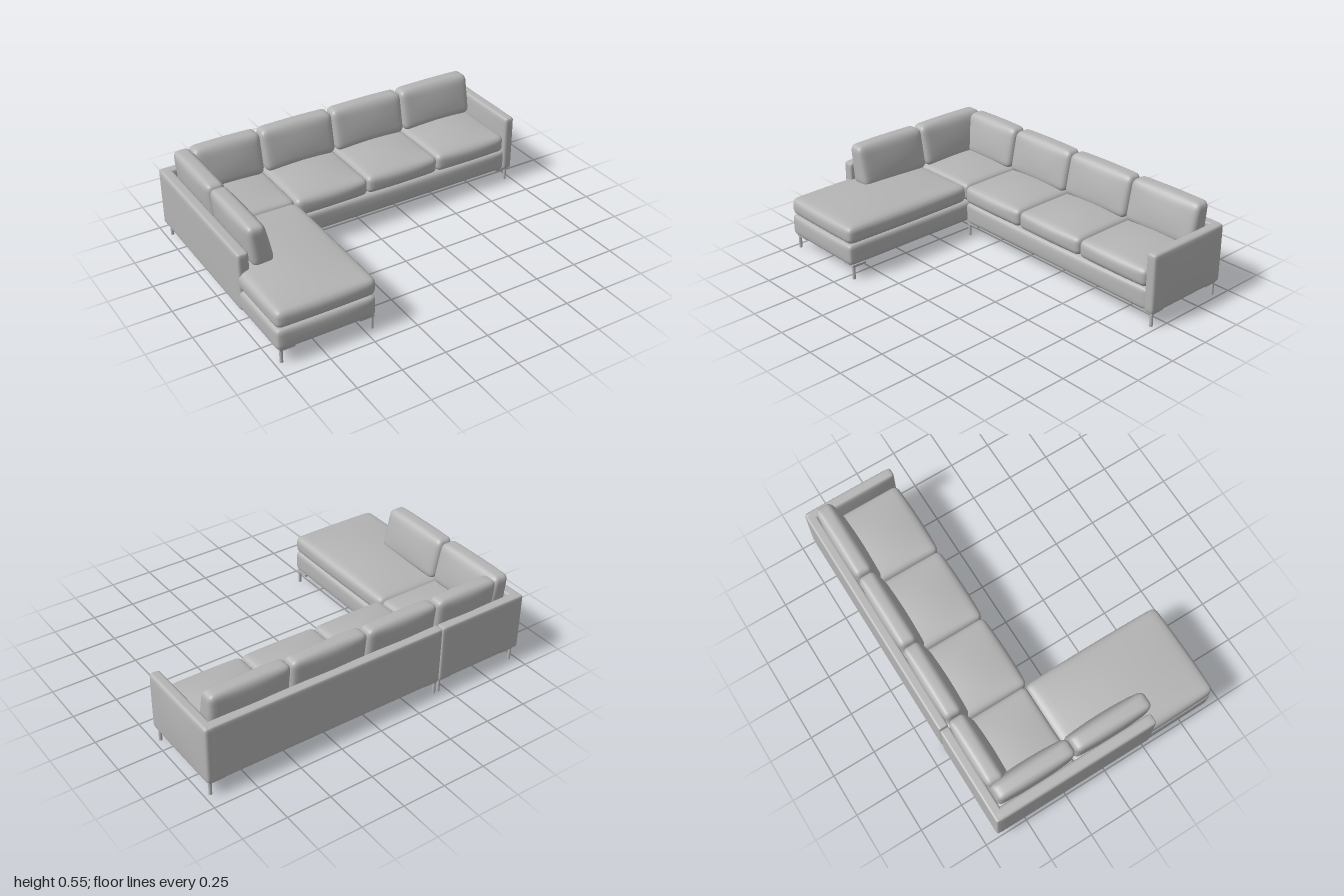
import * as THREE from 'three';
import { mergeVertices } from 'three/addons/utils/BufferGeometryUtils.js';

const upholstery = new THREE.MeshStandardMaterial({ color: 0xb4b4b4 });
upholstery.name = 'grey upholstery';

// Soft box: rounded edges, then each face swells by bulge = [x, y, z]; lean and taper act towards the top
function softBox(w, h, d, r, bulge = [0, 0, 0], lean = 0, taper = 0) {
  let geo = new THREE.BoxGeometry(2, 2, 2, 20, 16, 20);
  geo.deleteAttribute('uv');
  geo.deleteAttribute('normal');
  geo = mergeVertices(geo, 1e-4);
  const pos = geo.attributes.position;
  const half = new THREE.Vector3(w / 2, h / 2, d / 2);
  const inner = half.clone().subScalar(r);
  const p = new THREE.Vector3(), q = new THREE.Vector3(), low = inner.clone().negate();
  const crowd = (t) => Math.sin((t * Math.PI) / 2);
  const swell = (a, b) => (1 - a * a) * (1 - b * b);
  for (let i = 0; i < pos.count; i++) {
    p.fromBufferAttribute(pos, i);
    p.set(crowd(p.x), crowd(p.y), crowd(p.z)).multiply(half);
    q.copy(p).clamp(low, inner);
    p.sub(q).setLength(r).add(q);
    const u = p.x / half.x, v = p.y / half.y, t = p.z / half.z;
    p.x += bulge[0] * u * swell(v, t);
    p.y += bulge[1] * v * swell(u, t);
    p.z += bulge[2] * t * swell(u, v);
    p.z = p.z * (1 - taper * (v + 1) / 2) + lean * v;
    pos.setXYZ(i, p.x, p.y, p.z);
  }
  geo.computeVertexNormals();
  return geo;
}

function addMesh(group, name, geo) {
  const mesh = new THREE.Mesh(geo, upholstery);
  mesh.name = name;
  group.add(mesh);
  return mesh;
}

// Soft box given by its limits on each axis
function addBlock(group, name, [x0, x1], [y0, y1], [z0, z1], r, bulge) {
  const mesh = addMesh(group, name, softBox(x1 - x0, y1 - y0, z1 - z0, r, bulge));
  mesh.position.set((x0 + x1) / 2, (y0 + y1) / 2, (z0 + z1) / 2);
}

// Leaning cushion, facing +z before turning
function addBackCushion(group, name, width, x, z, turn = 0) {
  const mesh = addMesh(group, name, softBox(width, 0.235, 0.125, 0.035, [0, 0.006, 0.014], -0.018, 0.22));
  mesh.position.set(x, 0.428, z);
  mesh.rotation.y = turn;
}

// Corner bracket with a slim post; turn points the bracket arms inwards
function addLeg(group, x, z, turn) {
  const leg = new THREE.Group();
  leg.name = 'leg';
  const shape = new THREE.Shape([[0, 0], [0.085, 0], [0.085, 0.016], [0.032, 0.032], [0.016, 0.085], [0, 0.085]]
    .map(([a, b]) => new THREE.Vector2(a - 0.01, b - 0.01)));
  const plate = new THREE.ExtrudeGeometry(shape, { depth: 0.014, bevelEnabled: false });
  plate.rotateX(Math.PI / 2);
  addMesh(leg, 'legBracket', plate).position.y = 0.086;
  addMesh(leg, 'legPost', new THREE.CylinderGeometry(0.009, 0.009, 0.078, 16)).position.y = 0.039;
  leg.position.set(x, 0, z);
  leg.rotation.y = turn;
  group.add(leg);
}

export function createModel() {
  const sofa = new THREE.Group();
  sofa.name = 'cornerSofa';
  const chaise = new THREE.Group();
  chaise.name = 'chaiseUnit';
  const main = new THREE.Group();
  main.name = 'mainUnit';
  sofa.add(chaise, main);
  const frameY = [0.082, 0.42], baseY = [0.082, 0.21], seatY = [0.208, 0.312];

  // Chaise unit: base, side and back panels
  addBlock(chaise, 'chaiseBase', [-0.992, -0.44], baseY, [-0.66, 0.672], 0.028, [0.006, 0, 0.008]);
  addBlock(chaise, 'chaiseSidePanel', [-0.998, -0.932], frameY, [-0.678, 0.29], 0.018, [0.002, 0, 0]);
  addBlock(chaise, 'chaiseBackPanel', [-0.996, -0.441], frameY, [-0.678, -0.622], 0.012);

  // Chaise seats
  addBlock(chaise, 'chaiseSeat', [-0.99, -0.437], seatY, [-0.16, 0.672], 0.036, [0.006, 0.024, 0.008]);
  addBlock(chaise, 'cornerSeat', [-0.94, -0.44], seatY, [-0.635, -0.158], 0.03, [0, 0.022, 0]);

  // Main unit: base, back panel and arm
  addBlock(main, 'mainBase', [-0.438, 0.94], baseY, [-0.65, -0.145], 0.026, [0, 0, 0.008]);
  addBlock(main, 'mainBackPanel', [-0.438, 0.97], frameY, [-0.678, -0.622], 0.012);
  addBlock(main, 'arm', [0.93, 0.99], frameY, [-0.678, -0.14], 0.018, [0.009, 0, 0]);

  // Main seats and their back cushions
  const edges = [-0.44, 0.006, 0.464, 0.928];
  for (let i = 0; i < 3; i++) {
    const a = edges[i], b = edges[i + 1];
    addBlock(main, 'seatCushion', [a, b], seatY, [-0.635, -0.143], 0.032, [0, 0.024, 0.01]);
    addBackCushion(main, 'backCushion', b - a - 0.004, (a + b) / 2, -0.565);
  }

  // Corner and side back cushions
  addBackCushion(chaise, 'cornerBackCushion', 0.395, -0.643, -0.565);
  for (const z of [-0.393, 0.066]) addBackCushion(chaise, 'sideBackCushion', 0.455, -0.868, z, Math.PI / 2);

  // Legs at the four corners of each unit
  const addLegs = (group, x0, x1, z0, z1) => {
    addLeg(group, x0, z0, 0);
    addLeg(group, x0, z1, Math.PI / 2);
    addLeg(group, x1, z1, Math.PI);
    addLeg(group, x1, z0, -Math.PI / 2);
  };
  addLegs(chaise, -0.963, -0.455, -0.655, 0.645);
  addLegs(main, -0.425, 0.965, -0.655, -0.168);
  return sofa;
}
